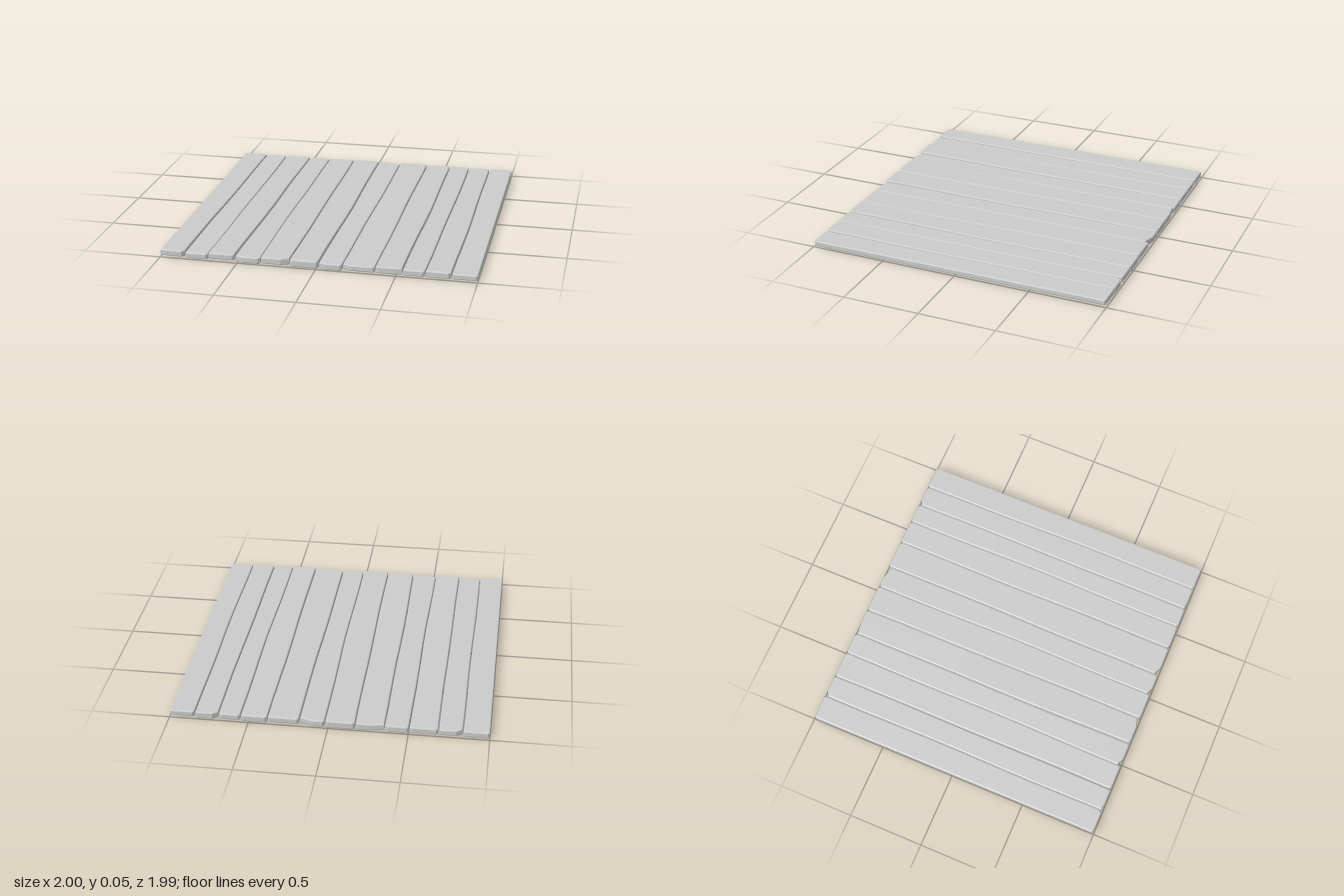
import * as THREE from 'three';

// Seams between boards: x at the back, in the middle and at the front
const seams = [
  [-1, -1, -1], [-0.835, -0.838, -0.84], [-0.685, -0.683, -0.69], [-0.503, -0.508, -0.518],
  [-0.352, -0.357, -0.352], [-0.17, -0.165, -0.168], [0.02, 0.022, 0.015], [0.18, 0.175, 0.165],
  [0.38, 0.375, 0.37], [0.55, 0.55, 0.54], [0.69, 0.69, 0.68], [0.84, 0.845, 0.84], [1, 1, 1],
];

// Boards: bottom, top, rise towards the front, then worn corners [dx, dz]
// in the order back left, back right, front right, front left
const S = [0.012, 0.01];
const boards = [
  [0.012, 0.052, 0.001, [S, S, [0.02, 0.02], [0.04, 0.006]]],
  [0.010, 0.048, -0.002, [[0.035, 0.025], S, S, [0.05, 0.006]]],
  [0.014, 0.053, 0.002, [S, S, S, S]],
  [0.007, 0.048, -0.001, [S, [0.02, 0.014], S, [0.05, 0.02]]],
  [0.010, 0.053, 0.002, [[0.08, 0.012], S, [0.05, 0.022], S]],
  [0.006, 0.053, 0.001, [S, S, S, S]],
  [0.006, 0.048, -0.002, [S, [0.085, 0.028], S, [0.045, 0.02]]],
  [0.013, 0.051, -0.002, [S, S, S, [0.05, 0.024]]],
  [0.009, 0.053, 0.002, [S, S, [0.04, 0.006], [0.02, 0.01]]],
  [0.011, 0.050, -0.001, [S, [0.014, 0.01], S, S]],
  [0.008, 0.051, 0.001, [[0.035, 0.025], S, [0.014, 0.012], [0.06, 0.006]]],
  [0.013, 0.049, -0.002, [S, S, S, S]],
];

const END = 0.995, GAP = 0.0035, BEVEL = 0.007;

// x of a seam at depth z, with a slight hand-cut waver inside the floor
function seamX(i, z) {
  const [b, m, f] = seams[i];
  const x = z < 0 ? m + (b - m) * -z : m + (f - m) * z;
  const inner = i > 0 && i < seams.length - 1;
  return inner ? x + 0.004 * Math.sin(i * 2.3 + z * 4) * (1 - z * z) : x;
}

function boardGeometry(i) {
  const [bottom, top, rise, [bl, br, fr, fl]] = boards[i];
  const left = z => seamX(i, z) + (i > 0 ? GAP : 0);
  const right = z => seamX(i + 1, z) - (i < boards.length - 1 ? GAP : 0);
  const steps = [-0.75, -0.5, -0.25, 0, 0.25, 0.5, 0.75];

  // Outline seen from above, running round the board
  const outline = [
    [left(-1) + bl[0], -END], [left(-1), -END + bl[1]],
    ...steps.map(z => [left(z), z]),
    [left(1), END - fl[1]], [left(1) + fl[0], END],
    [right(1) - fr[0], END], [right(1), END - fr[1]],
    ...steps.slice().reverse().map(z => [right(z), z]),
    [right(-1), -END + br[1]], [right(-1) - br[0], -END],
  ];
  const shape = new THREE.Shape(outline.map(([x, z]) => new THREE.Vector2(x, -z)));
  const geo = new THREE.ExtrudeGeometry(shape, {
    depth: top - bottom - 2 * BEVEL,
    bevelEnabled: true, bevelSize: BEVEL, bevelOffset: -BEVEL,
    bevelThickness: BEVEL, bevelSegments: 2,
  });
  geo.rotateX(-Math.PI / 2);
  geo.translate(0, bottom + BEVEL, 0);

  // Tip the board slightly along its length
  const p = geo.attributes.position;
  for (let k = 0; k < p.count; k++) p.setY(k, p.getY(k) + rise * p.getZ(k));
  geo.computeVertexNormals();
  return geo;
}

export function createModel() {
  const floor = new THREE.Group();
  floor.name = 'plankFloor';
  const wood = new THREE.MeshStandardMaterial({ color: 0xcccccc });
  boards.forEach((_, i) => {
    const board = new THREE.Mesh(boardGeometry(i), wood);
    board.name = `plank${i + 1}`;
    floor.add(board);
  });
  return floor;
}
